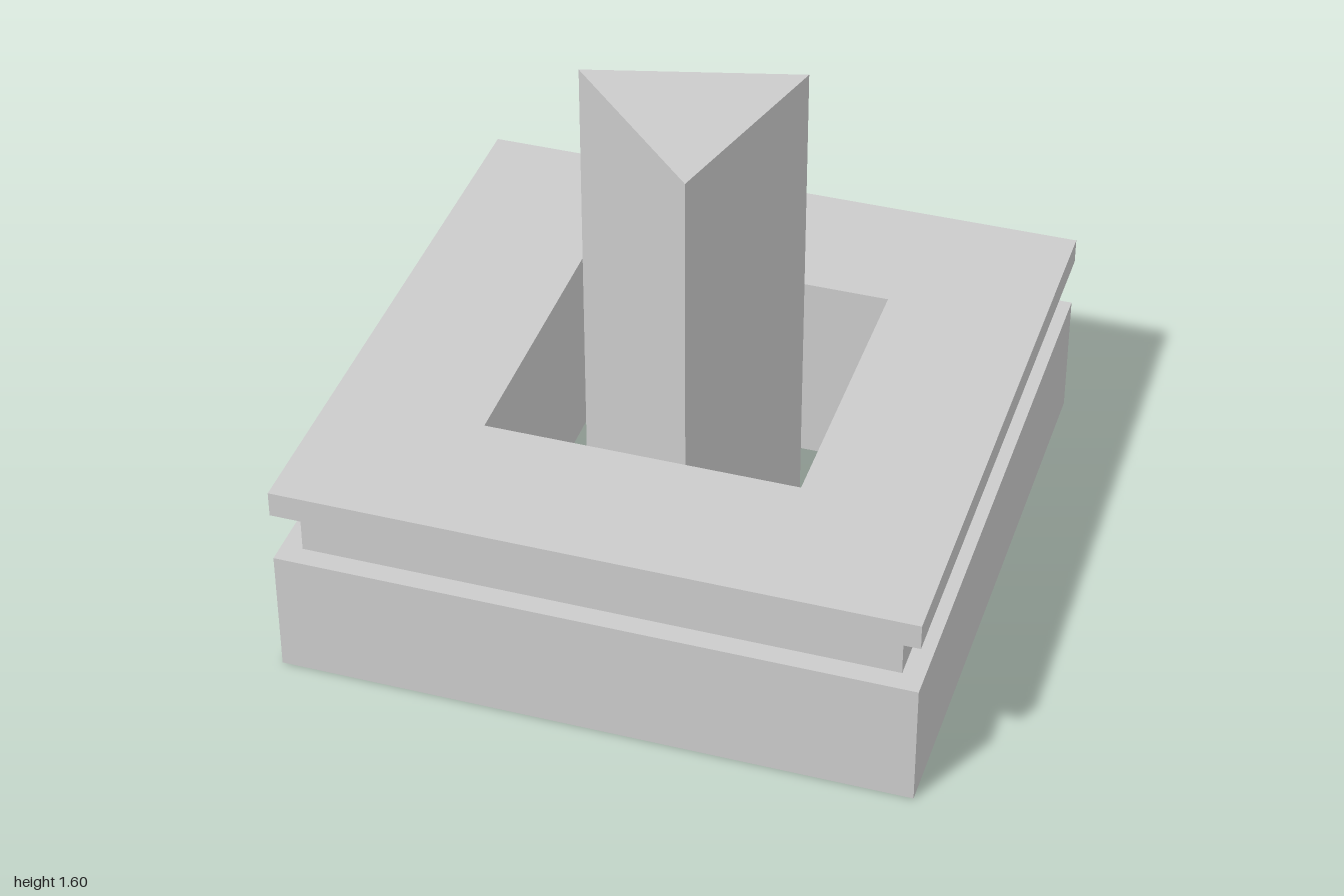
import * as THREE from 'three';

export function createModel() {
  const group = new THREE.Group();

  // Square base: a thin folded sheet, open underneath, with a neck groove and a central well
  const profile = [
    [1, 0], [1, 0.417],                 // plinth wall
    [0.933, 0.417], [0.933, 0.583],     // recessed neck
    [1, 0.583], [1, 0.667],             // top slab edge
    [0.5, 0.667], [0.5, 0],             // top face and well wall
  ].map(([half, y]) => new THREE.Vector2(half * Math.SQRT2, y));
  const base = new THREE.Mesh(
    new THREE.LatheGeometry(profile, 4, Math.PI / 4),
    new THREE.MeshStandardMaterial({ color: 0xcccccc, flatShading: true, side: THREE.DoubleSide })
  );
  base.name = 'steppedBase';
  group.add(base);

  // Triangular column standing in the well
  const height = 1.6;
  const column = new THREE.Mesh(
    new THREE.CylinderGeometry(0.4, 0.4, height, 3, 1, false, Math.PI / 12),
    new THREE.MeshStandardMaterial({ color: 0xcccccc, flatShading: true })
  );
  column.position.y = height / 2;
  column.name = 'triangularColumn';
  group.add(column);

  return group;
}
